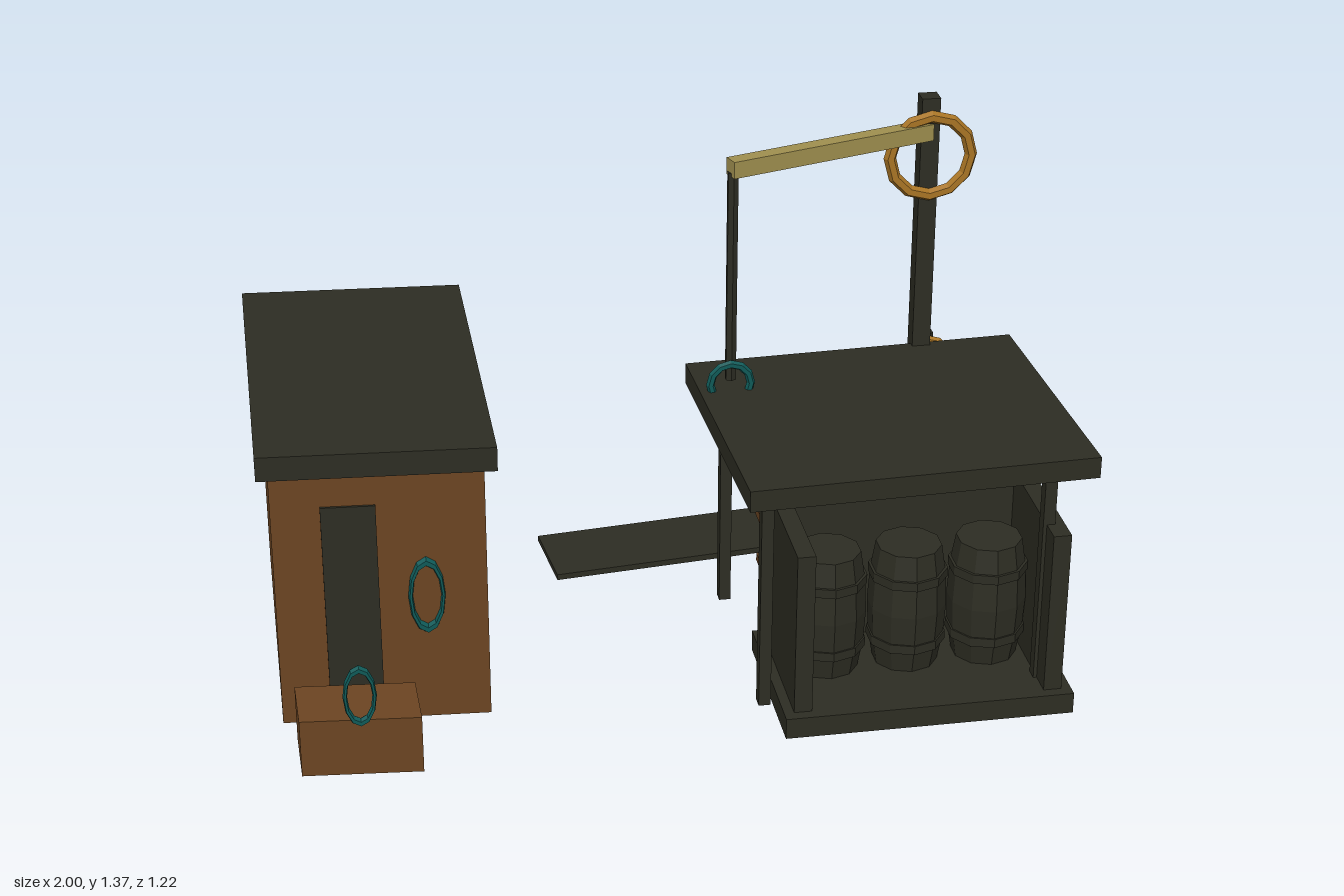
import * as THREE from 'three';

export function createModel() {
  const model = new THREE.Group();
  const mat = (name, color) => {
    const m = new THREE.MeshStandardMaterial({ color, flatShading: true });
    m.name = name;
    return m;
  };
  const dark = mat('charcoal timber', 0x2d2d23);
  const brown = mat('brown timber', 0x6c4522);
  const straw = mat('straw beam', 0xa0904f);
  const gold = mat('golden rope', 0xa87424);
  const teal = mat('teal rope', 0x0f5a58);

  const add = (parent, name, geo, material, x = 0, y = 0, z = 0) => {
    const mesh = new THREE.Mesh(geo, material);
    mesh.name = name;
    mesh.position.set(x, y, z);
    parent.add(mesh);
    return mesh;
  };
  // box given by its limits on each axis
  const box = (parent, name, m, [x0, x1], [y0, y1], [z0, z1]) => add(parent, name,
    new THREE.BoxGeometry(x1 - x0, y1 - y0, z1 - z0), m, (x0 + x1) / 2, (y0 + y1) / 2, (z0 + z1) / 2);
  // box skewed in plan: sx moves z along x, sz moves x along z
  const skewBox = (parent, name, m, w, h, d, x, y, z, sx, sz) => {
    const geo = new THREE.BoxGeometry(w, h, d);
    geo.applyMatrix4(new THREE.Matrix4().set(1, 0, sz, 0, 0, 1, 0, 0, sx, 0, 1, 0, 0, 0, 0, 1));
    return add(parent, name, geo, m, x, y, z);
  };
  const pole = (parent, name, m, r, y0, y1, x, z, sides = 6) =>
    add(parent, name, new THREE.CylinderGeometry(r, r, y1 - y0, sides), m, x, (y0 + y1) / 2, z);
  // rope ring with outer half-width rx and half-height ry
  const ring = (parent, name, m, rx, ry, tube, x, y, z) => {
    const geo = new THREE.TorusGeometry(ry - tube, tube, 6, 12);
    geo.scale(rx / ry, 1, 1);
    return add(parent, name, geo, m, x, y, z);
  };
  const group = (name) => {
    const g = new THREE.Group();
    g.name = name;
    model.add(g);
    return g;
  };

  // Hut
  const hut = group('hut');
  skewBox(hut, 'hutWalls', brown, 0.505, 0.69, 0.84, -0.715, 0.39, -0.083, 0.068, -0.01);
  skewBox(hut, 'hutRoof', dark, 0.56, 0.062, 0.942, -0.715, 0.764, -0.088, 0.068, -0.011);
  skewBox(hut, 'hutDoor', dark, 0.13, 0.58, 0.009, -0.79, 0.345, 0.334, 0.068, 0);
  ring(hut, 'wallRing', teal, 0.045, 0.105, 0.013, -0.612, 0.385, 0.345);
  skewBox(hut, 'crate', brown, 0.286, 0.15, 0.158, -0.798, 0.125, 0.502, 0.092, 0.01);
  ring(hut, 'crateRing', teal, 0.04, 0.083, 0.011, -0.797, 0.277, 0.599);

  // Storage stall
  const stall = group('stall');
  box(stall, 'stallBase', dark, [0.235, 0.96], [0, 0.055], [0.095, 0.523]);
  box(stall, 'stallBackWall', dark, [0.26, 0.935], [0.055, 0.487], [0.11, 0.15]);
  for (const x of [0.26, 0.89]) {
    box(stall, 'stallSideWall', dark, [x, x + 0.045], [0.055, 0.487], [0.11, 0.495]);
  }
  const stallRoof = add(stall, 'stallRoof', new THREE.BoxGeometry(0.861, 0.055, 0.711), dark, 0.553, 0.663, 0.151);
  stallRoof.rotation.y = 0.039;
  for (const x of [0.199, 0.896]) {
    for (const z of [0.418, -0.106]) {
      box(stall, 'roofPost', dark, [x - 0.015, x + 0.015], [0.045, 0.64], [z - 0.016, z + 0.016]);
    }
  }
  pole(stall, 'smallBucket', dark, 0.045, 0.468, 0.556, 0.593, 0.14, 8);

  // Barrels with hoops
  const profile = [[0, 0.055], [0.082, 0.055], [0.094, 0.125], [0.099, 0.215], [0.094, 0.305], [0.082, 0.38], [0, 0.38]]
    .map(([r, y]) => new THREE.Vector2(r, y));
  for (const x of [0.385, 0.59, 0.795]) {
    add(stall, 'barrel', new THREE.LatheGeometry(profile, 10), dark, x, 0, 0.275);
    for (const y of [0.125, 0.305]) {
      pole(stall, 'barrelHoop', dark, 0.099, y - 0.012, y + 0.012, x, 0.275, 10);
    }
  }

  // Hoist: mast, arm and hanging pole with rings
  const hoist = group('hoist');
  box(hoist, 'mast', dark, [0.703, 0.75], [0.045, 1.365], [-0.24, -0.193]);
  const arm = add(hoist, 'hoistArm', new THREE.BoxGeometry(0.565, 0.043, 0.04), straw, 0.459, 1.277, -0.122);
  arm.rotation.y = Math.atan2(0.165, 0.52);
  pole(hoist, 'hangingPole', dark, 0.0145, 0.71, 1.265, 0.197, -0.042);
  ring(hoist, 'mastRing', gold, 0.12, 0.12, 0.016, 0.728, 1.215, -0.19);
  ring(hoist, 'hangingRing', teal, 0.062, 0.064, 0.011, 0.193, 0.708, -0.019);
  pole(hoist, 'sidePole', dark, 0.0225, 0.045, 0.69, 0.758, -0.278);
  ring(hoist, 'sidePoleRing', gold, 0.072, 0.07, 0.012, 0.757, 0.618, -0.256);

  // Counter behind the stall
  const counter = group('counter');
  box(counter, 'counterTop', brown, [0.285, 0.79], [0.272, 0.298], [-0.3, 0.056]);
  box(counter, 'counterBody', brown, [0.33, 0.745], [0.07, 0.275], [-0.265, 0.01]);
  box(counter, 'counterPlinth', brown, [0.32, 0.755], [0.05, 0.072], [-0.275, 0.03]);
  // raised frame on the back panel
  for (const y of [0.148, 0.2]) {
    box(counter, 'panelRail', brown, [0.39, 0.685], [y - 0.006, y + 0.006], [-0.273, -0.265]);
  }
  for (const x of [0.396, 0.679]) {
    box(counter, 'panelStile', brown, [x - 0.006, x + 0.006], [0.142, 0.206], [-0.273, -0.265]);
  }
  for (const [x0, x1] of [[0.322, 0.33], [0.745, 0.753]]) {
    box(counter, 'endPanel', brown, [x0, x1], [0.075, 0.2], [-0.05, 0.005]);
    const disc = pole(counter, 'endDisc', brown, 0.045, -0.004, 0.004, (x0 + x1) / 2, -0.18, 16);
    disc.position.y = 0.175;
    disc.rotation.z = Math.PI / 2;
  }
  for (const x of [0.31, 0.755]) {
    box(counter, 'counterBracket', brown, [x, x + 0.02], [0.2, 0.275], [0.045, 0.056]);
  }
  // sign board on two legs
  for (const x of [0.415, 0.665]) {
    box(counter, 'signLeg', brown, [x - 0.014, x + 0.014], [0.298, 0.4], [-0.15, -0.128]);
  }
  box(counter, 'signBoard', brown, [0.345, 0.735], [0.385, 0.435], [-0.15, -0.13]);
  box(counter, 'signCrest', brown, [0.45, 0.63], [0.435, 0.458], [-0.15, -0.13]);
  pole(counter, 'cup', brown, 0.02, 0.298, 0.355, 0.715, -0.225, 8);

  // Loose plank near the ground
  const plank = add(model, 'plank', new THREE.BoxGeometry(0.684, 0.016, 0.223), dark, 0.117, 0.021, -0.465);
  plank.rotation.y = 0.103;

  return model;
}
